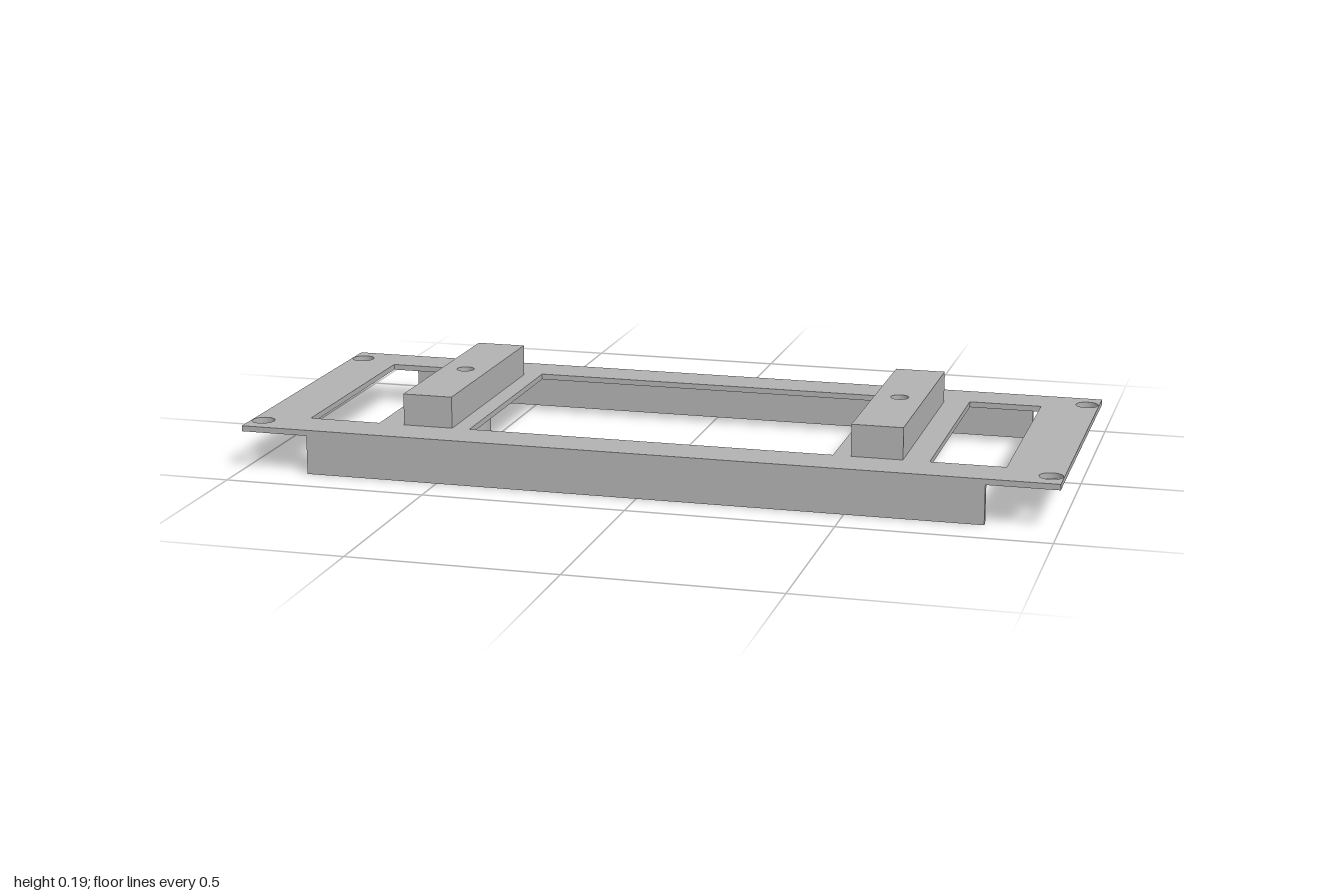
import * as THREE from 'three';

const PLATE_TOP = 0.11, PLATE_BOTTOM = 0.096, BAR_TOP = 0.188;

// Rectangle outline in plan: first axis is x, second is z
function rect(Type, x0, x1, z0, z1) {
  return new Type([[x0, z0], [x1, z0], [x1, z1], [x0, z1]].map(([x, z]) => new THREE.Vector2(x, z)));
}

function roundHole(x, z, r) {
  const hole = new THREE.Path();
  hole.absarc(x, z, r, 0, Math.PI * 2, true);
  return hole;
}

// Extrudes a plan outline between two heights
function slab(shape, bottom, top) {
  const geometry = new THREE.ExtrudeGeometry(shape, { depth: top - bottom, bevelEnabled: false, curveSegments: 24 });
  return geometry.rotateX(Math.PI / 2).translate(0, top, 0);
}

export function createModel() {
  const model = new THREE.Group();
  model.name = 'mountingFrame';
  const metal = new THREE.MeshStandardMaterial({ color: 0xb2b2b2 });
  metal.name = 'grey metal';

  const add = (name, geometry) => {
    const mesh = new THREE.Mesh(geometry, metal);
    mesh.name = name;
    model.add(mesh);
    return mesh;
  };

  // Flat plate with three windows and four corner screw holes
  const plate = rect(THREE.Shape, -1, 1, -0.4, 0.4);
  for (const [x0, x1] of [[-0.865, -0.685], [-0.452, 0.45], [0.68, 0.86]]) {
    plate.holes.push(rect(THREE.Path, x0, x1, -0.292, 0.288));
  }
  for (const x of [-0.97, 0.97]) {
    for (const z of [-0.337, 0.337]) plate.holes.push(roundHole(x, z, 0.028));
  }
  add('plate', slab(plate, PLATE_BOTTOM, PLATE_TOP));

  // Folded flanges along the front and back edges
  for (const [name, side] of [['frontFlange', 1], ['backFlange', -1]]) {
    add(name, new THREE.BoxGeometry(1.66, PLATE_BOTTOM, 0.016)).position.set(-0.002, PLATE_BOTTOM / 2, side * 0.392);
  }

  // Raised bars with a bored hole, and a round boss beneath each
  for (const [side, x] of [['right', -0.558], ['left', 0.555]]) {
    const bar = rect(THREE.Shape, x - 0.062, x + 0.062, -0.275, 0.29);
    bar.holes.push(roundHole(x, 0.008, 0.022));
    add(side + 'Bar', slab(bar, PLATE_TOP, BAR_TOP));
    add(side + 'Boss', new THREE.CylinderGeometry(0.062, 0.062, PLATE_BOTTOM, 48))
      .position.set(x, PLATE_BOTTOM / 2, 0.008);
  }

  return model;
}
